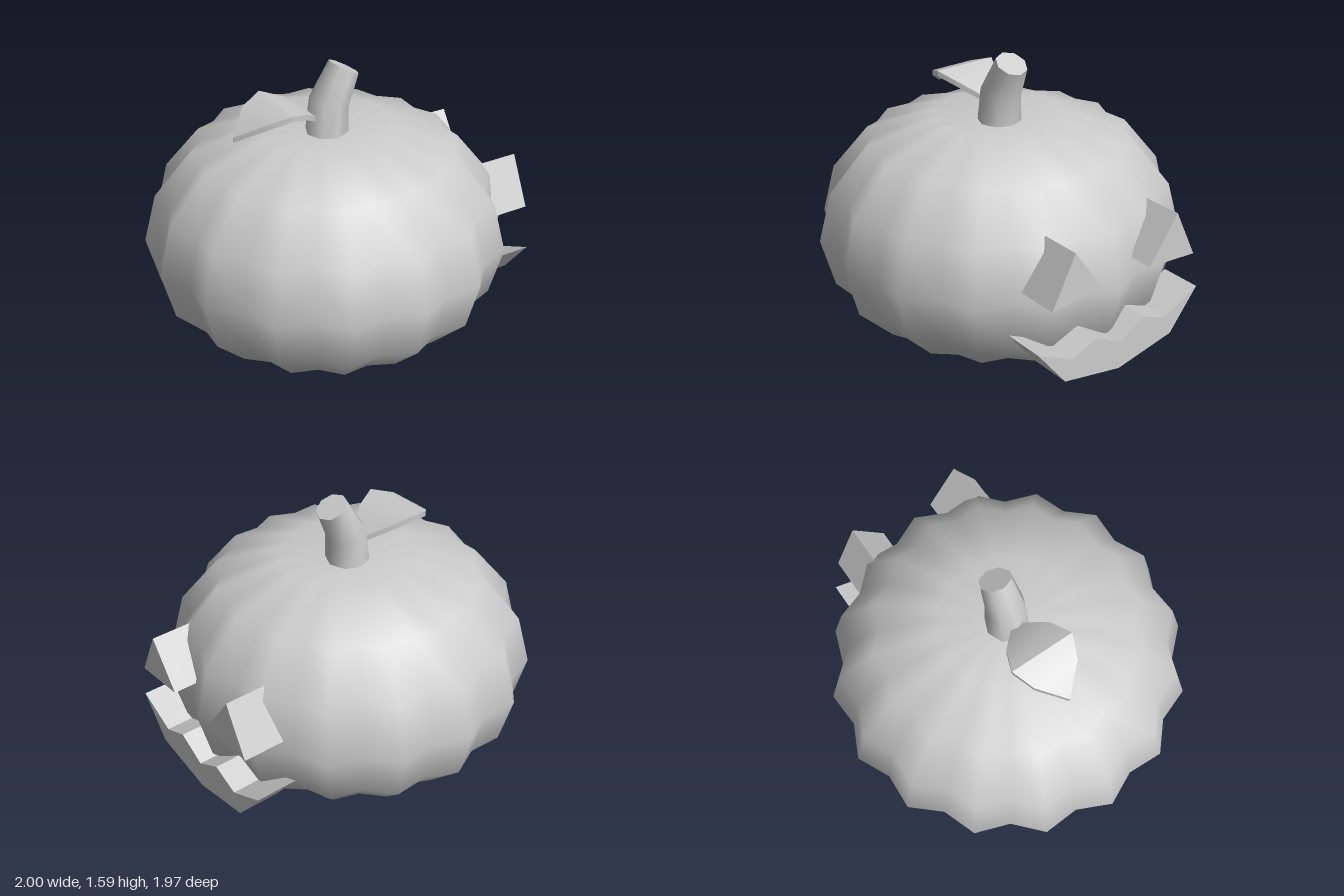
import * as THREE from 'three';
import { mergeVertices, toCreasedNormals } from 'three/addons/utils/BufferGeometryUtils.js';

const CENTRE_X = -0.015;

// Pull every second meridian inwards to form 16 ribs
function addRibs(geometry) {
  const p = geometry.attributes.position;
  for (let i = 0; i < p.count; i++) {
    const x = p.getX(i), z = p.getZ(i);
    const step = Math.round(Math.atan2(x, z) / (Math.PI / 16));
    if (step % 2 !== 0) p.setXYZ(i, x * 0.932, p.getY(i), z * 0.932);
  }
}

function smooth(geometry) {
  geometry.deleteAttribute('normal');
  geometry.deleteAttribute('uv');
  const merged = mergeVertices(geometry, 1e-4);
  merged.computeVertexNormals();
  return merged;
}

// Skin a list of equal-length closed rings, with flat end caps
function loft(rings) {
  const n = rings[0].length, pos = [], index = [];
  rings.forEach(r => r.forEach(v => pos.push(...v)));
  for (let k = 0; k < rings.length - 1; k++) {
    for (let i = 0; i < n; i++) {
      const a = k * n + i, b = k * n + (i + 1) % n;
      index.push(a, b, b + n, a, b + n, a + n);
    }
  }
  const last = (rings.length - 1) * n;
  for (let i = 1; i < n - 1; i++) {
    index.push(0, i + 1, i);
    index.push(last, last + i, last + i + 1);
  }
  const g = new THREE.BufferGeometry();
  g.setAttribute('position', new THREE.Float32BufferAttribute(pos, 3));
  g.setIndex(index);
  return g;
}

export function createModel() {
  const group = new THREE.Group();
  const grey = new THREE.MeshStandardMaterial({ color: 0xcccccc });
  grey.name = 'plain grey';
  const add = (name, geometry) => {
    const mesh = new THREE.Mesh(geometry, grey);
    mesh.name = name;
    group.add(mesh);
    return mesh;
  };

  // Ribbed body with a shallow dip round the stem
  const profile = [
    [0.325, 0], [0.715, 0.14], [0.915, 0.34], [0.985, 0.61],
    [0.915, 0.88], [0.715, 1.125], [0.365, 1.243], [0, 1.19],
  ].map(([r, y]) => new THREE.Vector2(r, y));
  const bodyGeometry = new THREE.LatheGeometry(profile, 32);
  addRibs(bodyGeometry);
  add('body', smooth(bodyGeometry)).position.x = CENTRE_X;

  // Flat underside
  const baseGeometry = new THREE.CircleGeometry(0.325, 32).rotateX(Math.PI / 2);
  addRibs(baseGeometry);
  add('base', baseGeometry).position.x = CENTRE_X;

  // Bent, tapering eight-sided stem: centre x, y, radius, tilt
  const stemRings = [
    [-0.01, 1.15, 0.12, 0],
    [0.005, 1.365, 0.108, 0.24],
    [0.095, 1.545, 0.086, 0.49],
  ].map(([cx, cy, r, tilt]) => Array.from({ length: 8 }, (_, i) => {
    const a = -i * Math.PI / 4, u = r * Math.cos(a);
    return [cx + u * Math.cos(tilt), cy - u * Math.sin(tilt), r * Math.sin(a)];
  }));
  const stemGeometry = loft(stemRings);
  // Rings run clockwise from above, so reverse the winding check by mirroring z
  stemGeometry.scale(1, 1, 1);
  add('stem', toCreasedNormals(flipIfInward(stemGeometry), 0.9));

  // Arched leaf plate: x, top y, half width
  const leafRings = [
    [-0.55, 1.3, 0.003], [-0.43, 1.39, 0.13], [-0.31, 1.43, 0.18],
    [-0.19, 1.39, 0.13], [-0.07, 1.3, 0.012],
  ].map(([x, y, w]) => [[x, y, -w], [x, y, w], [x, y - 0.03, w], [x, y - 0.03, -w]]);
  add('leaf', toCreasedNormals(flipIfInward(loft(leafRings)), 0.6));

  // Face pieces: outlines as (z, y), extruded along x
  const facePiece = (name, outline, x0, x1) => {
    const shape = new THREE.Shape(outline.map(([z, y]) => new THREE.Vector2(-z, y)));
    const g = new THREE.ExtrudeGeometry(shape, { depth: x1 - x0, bevelEnabled: false });
    g.rotateY(Math.PI / 2).translate(x0, 0, 0);
    add(name, g);
  };
  for (const [name, s] of [['rightEye', 1], ['leftEye', -1]]) {
    facePiece(name, [[0.335 * s, 0.945], [0.47 * s, 0.675], [0.16 * s, 0.7]], 0.76, 1);
  }
  const half = [[0.16, 0.405], [0.315, 0.34], [0.535, 0.45], [0.36, 0.23]];
  const mirrored = half.map(([z, y]) => [-z, y]).reverse();
  facePiece('mouth', [[0, 0.315], ...half, [0, 0.16], ...mirrored], 0.75, 0.98);

  return group;
}

// Make a closed surface face outwards, judged by its signed volume
function flipIfInward(geometry) {
  const p = geometry.attributes.position, idx = geometry.index;
  const [a, b, c] = [0, 1, 2].map(() => new THREE.Vector3());
  let volume = 0;
  for (let i = 0; i < idx.count; i += 3) {
    a.fromBufferAttribute(p, idx.getX(i));
    b.fromBufferAttribute(p, idx.getX(i + 1));
    c.fromBufferAttribute(p, idx.getX(i + 2));
    volume += a.dot(b.cross(c));
  }
  if (volume < 0) {
    for (let i = 0; i < idx.count; i += 3) {
      const t = idx.getX(i);
      idx.setX(i, idx.getX(i + 1));
      idx.setX(i + 1, t);
    }
  }
  return geometry;
}
